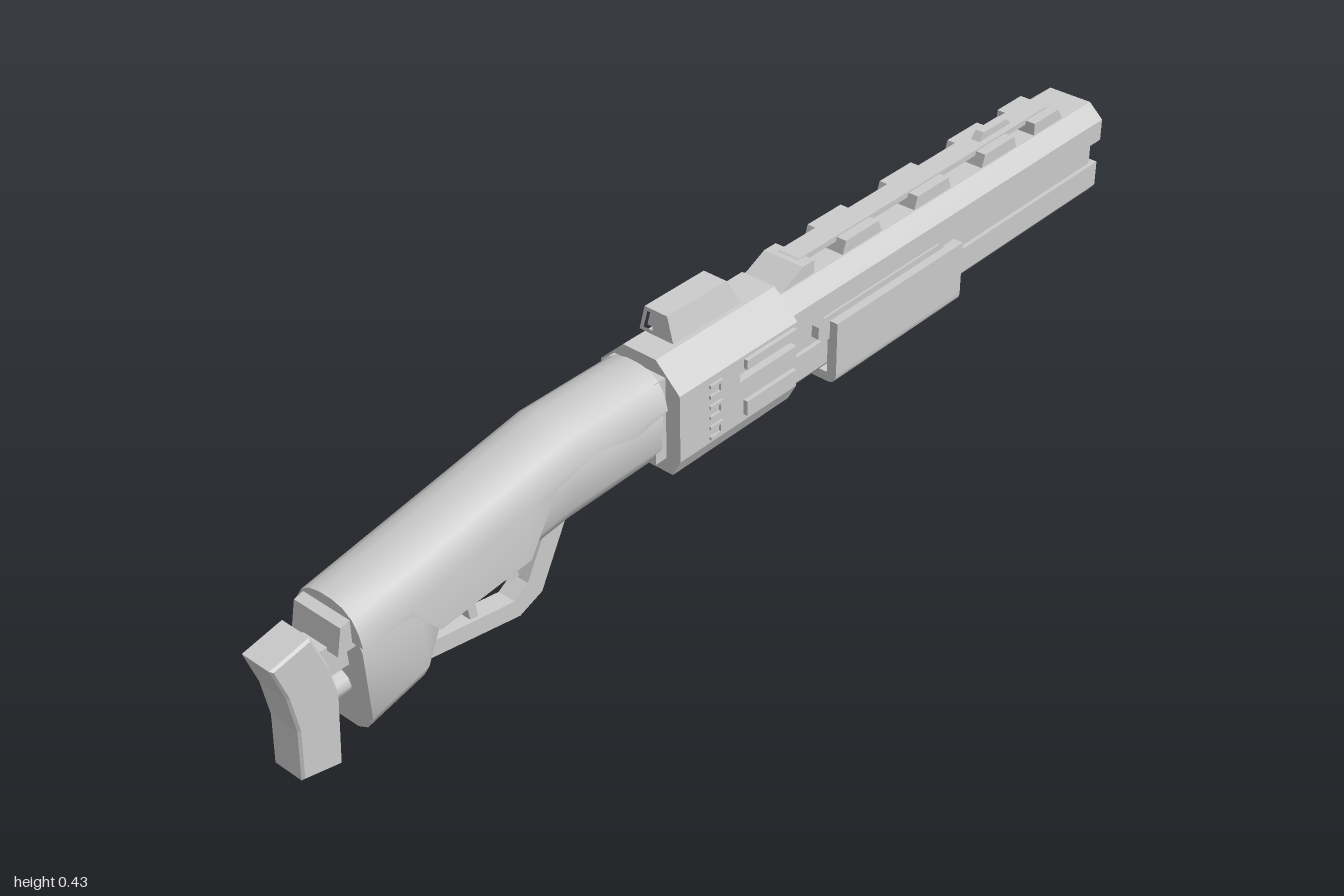
import * as THREE from 'three';
import { toCreasedNormals } from 'three/addons/utils/BufferGeometryUtils.js';

const material = new THREE.MeshStandardMaterial({ color: 0xcccccc });

export function createModel() {
  const model = new THREE.Group();

  const add = (name, geometry) => {
    const mesh = new THREE.Mesh(geometry, material);
    mesh.name = name;
    model.add(mesh);
    return mesh;
  };
  const box = (name, x0, x1, y0, y1, z0, z1) => {
    const mesh = add(name, new THREE.BoxGeometry(x1 - x0, y1 - y0, z1 - z0));
    mesh.position.set((x0 + x1) / 2, (y0 + y1) / 2, (z0 + z1) / 2);
    return mesh;
  };
  const shapeOf = (pts) => new THREE.Shape(pts.map(([a, b]) => new THREE.Vector2(a, b)));

  // Mirror a half section [z, y] listed from top to bottom
  const mirrored = (half) => shapeOf([...half, ...half.map(([z, y]) => [-z, y]).reverse()]);

  // Sweep a z/y section along x
  const alongX = (name, shape, x0, x1) => add(name,
    new THREE.ExtrudeGeometry(shape, { depth: x1 - x0, bevelEnabled: false, curveSegments: 6 })
      .rotateY(Math.PI / 2).translate(x0, 0, 0));

  // Side profile in x/y with thickness across z
  const profile = (name, pts, halfWidth, bevel = 0) => add(name,
    new THREE.ExtrudeGeometry(shapeOf(pts), {
      depth: 2 * (halfWidth - bevel), bevelEnabled: bevel > 0, bevelSize: bevel,
      bevelOffset: -bevel, bevelThickness: bevel, bevelSegments: 1,
    }).translate(0, 0, bevel - halfWidth));

  // Skin over cross-sections; each ring goes from +z over the top to -z
  const loft = (name, rings) => {
    const n = rings[0].length, pos = rings.flat(2), index = [];
    for (let i = 0; i < rings.length - 1; i++) {
      for (let j = 0; j < n; j++) {
        const a = i * n + j, b = i * n + (j + 1) % n;
        index.push(a, a + n, b, b, a + n, b + n);
      }
    }
    const last = (rings.length - 1) * n;
    for (let j = 1; j < n - 1; j++) index.push(0, j, j + 1, last, last + j + 1, last + j);
    const g = new THREE.BufferGeometry();
    g.setAttribute('position', new THREE.Float32BufferAttribute(pos, 3));
    g.setIndex(index);
    return add(name, toCreasedNormals(g, 0.6));
  };
  // Ring between a top and a bottom point from half-section [z, drop below top]
  const ring = ([tx, ty, bx, by], half) => {
    const h = ty - by;
    const side = half.map(([z, d]) => {
      const t = Math.min(d / h, 1);
      return [tx + (bx - tx) * t, ty - h * t, z];
    });
    return [...side, ...side.map(([x, y, z]) => [x, y, -z]).reverse()];
  };

  // Twin barrels: bored tips and solid rear lengths
  const barrels = [
    ['upperBarrel', [[0.045, 0.355], [0.075, 0.328], [0.075, 0.285]], 0.322],
    ['lowerBarrel', [[0.072, 0.237], [0.072, 0.187], [0.058, 0.17]], 0.203],
  ];
  for (const [name, half, cy] of barrels) {
    alongX(name, mirrored(half), 0.08, 0.88);
    const tip = mirrored(half);
    const bore = new THREE.Path();
    for (let i = 0; i < 8; i++) {
      const a = (i + 0.5) * Math.PI / 4;
      bore[i ? 'lineTo' : 'moveTo'](0.03 * Math.cos(a), cy + 0.03 * Math.sin(a));
    }
    bore.closePath();
    tip.holes.push(bore);
    alongX(name + 'Muzzle', tip, 0.88, 1);
  }
  box('barrelSpacer', 0.08, 0.985, 0.23, 0.29, -0.064, 0.064);

  // Forend: U-shaped clamp with rounded lower corners
  const clamp = new THREE.Shape();
  clamp.moveTo(0.095, 0.275);
  clamp.lineTo(0.075, 0.275);
  clamp.lineTo(0.075, 0.17);
  clamp.lineTo(-0.075, 0.17);
  clamp.lineTo(-0.075, 0.275);
  clamp.lineTo(-0.095, 0.275);
  clamp.lineTo(-0.095, 0.172);
  clamp.quadraticCurveTo(-0.095, 0.152, -0.075, 0.152);
  clamp.lineTo(0.075, 0.152);
  clamp.quadraticCurveTo(0.095, 0.152, 0.095, 0.172);
  alongX('forendClamp', clamp, 0.18, 0.535);
  profile('forendPlate', [[0.165, 0.24], [0.5, 0.24], [0.5, 0.275], [0.485, 0.287],
    [0.165, 0.287], [0.15, 0.275], [0.15, 0.252]], 0.079);

  // Receiver: plain rear, grooved front
  const top = [[0.035, 0.37], [0.085, 0.322]], bottom = [[0.085, 0.195], [0.068, 0.162]];
  alongX('receiverRear', mirrored([...top, ...bottom]), -0.205, -0.06);
  alongX('receiverFront', mirrored([...top, [0.085, 0.291], [0.07, 0.291],
    [0.07, 0.275], [0.085, 0.275], ...bottom]), -0.06, 0.085);
  box('receiverNeck', -0.23, -0.2, 0.19, 0.345, -0.055, 0.055);
  for (const s of [-1, 1]) {
    for (const [y, h] of [[0.307, 0.018], [0.222, 0.028]]) {
      box('receiverRib', -0.05, 0.075, y - h / 2, y + h / 2, s * 0.086 - 0.007, s * 0.086 + 0.007);
    }
  }
  // Three small hooks on one side, a slotted screw on the other
  for (const y of [0.295, 0.255, 0.215]) {
    for (const dy of [-0.01, 0.01]) box('hookBar', -0.135, -0.105, y + dy - 0.003, y + dy + 0.003, 0.083, 0.089);
    box('hookEnd', -0.111, -0.105, y - 0.01, y + 0.01, 0.083, 0.089);
  }
  const screw = add('sideScrew', new THREE.CylinderGeometry(0.027, 0.03, 0.014, 12).rotateX(-Math.PI / 2));
  screw.position.set(-0.125, 0.255, -0.09);
  box('screwBar', -0.145, -0.105, 0.251, 0.259, -0.1, -0.095).rotation.z = 0.6;

  // Rear sight: hollow trapezoid hood with a slanted nose, on two feet
  const hood = mirrored([[0.024, 0.427], [0.036, 0.38]]);
  hood.holes.push(new THREE.Path([[0.018, 0.42], [0.027, 0.387], [-0.027, 0.387], [-0.018, 0.42]]
    .map(([a, b]) => new THREE.Vector2(a, b))));
  const hoodGeometry = alongX('sightHood', hood, -0.165, 0).geometry;
  const hp = hoodGeometry.attributes.position;
  for (let i = 0; i < hp.count; i++) {
    if (hp.getX(i) > -0.01) hp.setX(i, -(hp.getY(i) - 0.38) * 0.5);
  }
  hoodGeometry.computeVertexNormals();
  alongX('sightCore', mirrored([[0.019, 0.421], [0.028, 0.386]]), -0.155, -0.045);
  for (const x of [-0.135, -0.05]) box('sightFoot', x - 0.015, x + 0.015, 0.36, 0.385, -0.022, 0.022);

  // Vented top rail: strip, wider feet and a front blade
  profile('railStrip', [[0.14, 0.371], [0.9, 0.371], [0.885, 0.382], [0.165, 0.382]], 0.022);
  profile('railRearRamp', [[0.085, 0.35], [0.18, 0.35], [0.18, 0.38], [0.15, 0.38]], 0.042);
  for (const x of [0.31, 0.51, 0.71]) {
    profile('railFoot', [[x - 0.055, 0.35], [x + 0.055, 0.35], [x + 0.045, 0.379], [x - 0.045, 0.379]], 0.042);
  }
  profile('railFrontRamp', [[0.82, 0.35], [0.915, 0.35], [0.895, 0.379], [0.82, 0.379]], 0.042);
  profile('frontSight', [[0.69, 0.38], [0.79, 0.38], [0.775, 0.396], [0.705, 0.396]], 0.009);

  // Stock body with the grip swell at the rear
  const bodyStations = [
    [-0.866, 0.286, -0.85, 0.036], [-0.75, 0.305, -0.735, 0.062], [-0.7, 0.314, -0.705, 0.14],
    [-0.55, 0.339, -0.55, 0.162], [-0.42, 0.36, -0.42, 0.176], [-0.22, 0.36, -0.22, 0.18],
  ];
  loft('stockBody', bodyStations.map((s) => {
    const h = s[1] - s[3];
    return ring(s, [[0.02, h], [0.044, h - 0.012], [0.06, h - 0.04], [0.063, 0.08], [0.05, 0.04], [0.025, 0.015]]);
  }));

  // Upper stock shell with a stepped lower edge
  const topAt = (x) => (x > -0.42 ? 0.362 : 0.362 + (x + 0.42) * 0.172);
  const edge = [[-0.867, 0.225], [-0.77, 0.225], [-0.72, 0.168], [-0.53, 0.185], [-0.47, 0.283],
    [-0.42, 0.297], [-0.37, 0.303], [-0.29, 0.285], [-0.22, 0.298]];
  const shell = [[0.073, 1], [0.073, 0.062], [0.067, 0.038], [0.054, 0.017], [0.036, 0.005], [0.013, 0]];
  loft('stockShell', edge.map(([x, y]) => ring([x, topAt(x), x, y], shell)));

  // Butt plate with a curved back, and its mounts
  profile('buttPlate', [[-1, 0.245], [-0.925, 0.26], [-0.9, 0.195], [-0.886, 0.13], [-0.895, 0],
    [-0.97, 0.018], [-0.966, 0.11], [-0.978, 0.18]], 0.033, 0.004);
  profile('buttTab', [[-0.895, 0.215], [-0.84, 0.215], [-0.84, 0.272], [-0.885, 0.262]], 0.05);
  profile('buttBlock', [[-0.92, 0.165], [-0.85, 0.165], [-0.85, 0.22], [-0.92, 0.22]], 0.026);
  for (const y of [0.12, 0.185]) {
    const bolt = add('buttBolt', new THREE.CylinderGeometry(0.022, 0.022, 0.07, 10).rotateZ(Math.PI / 2));
    bolt.position.set(-0.87, y, 0);
  }

  // Trigger guard and twin triggers
  profile('triggerGuard', [[-0.74, 0.075], [-0.51, 0.033], [-0.46, 0.052], [-0.392, 0.18],
    [-0.44, 0.18], [-0.49, 0.087], [-0.52, 0.068], [-0.74, 0.105]], 0.018);
  profile('trigger', [[-0.555, 0.18], [-0.505, 0.18], [-0.518, 0.145], [-0.5, 0.106],
    [-0.515, 0.102], [-0.54, 0.12]], 0.011);
  profile('rearTrigger', [[-0.625, 0.17], [-0.585, 0.17], [-0.598, 0.13], [-0.59, 0.065],
    [-0.605, 0.065], [-0.615, 0.125]], 0.011);

  return model;
}
